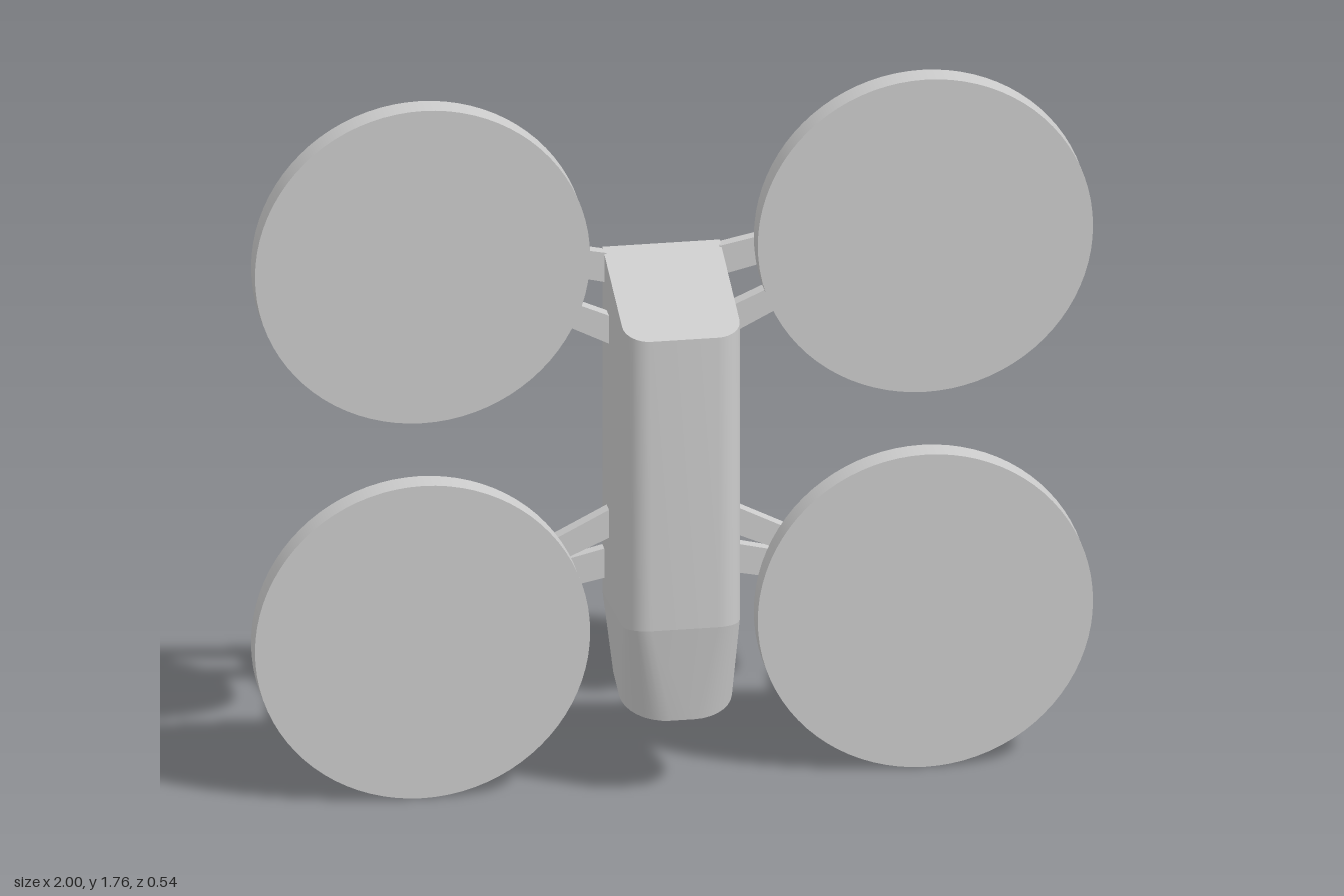
import * as THREE from 'three';
import { toCreasedNormals } from 'three/addons/utils/BufferGeometryUtils.js';

const material = new THREE.MeshStandardMaterial({ color: 0xcccccc });

function addMesh(parent, name, geometry, x = 0, y = 0, z = 0) {
  const mesh = new THREE.Mesh(geometry, material);
  mesh.name = name;
  mesh.position.set(x, y, z);
  parent.add(mesh);
  return mesh;
}

// Rounded rectangle ring lying on a plane whose height runs from yFront to yBack
function section({ halfWidth: w, front, back, frontRadius: rf, backRadius: rb, yFront, yBack }) {
  const corners = [
    [w - rf, front - rf, rf], [-w + rf, front - rf, rf],
    [-w + rb, back + rb, rb], [w - rb, back + rb, rb],
  ];
  const ring = [];
  corners.forEach(([cx, cz, r], c) => {
    for (let i = 0; i <= 8; i++) {
      const a = (c + i / 8) * Math.PI / 2;
      const z = cz + r * Math.sin(a);
      const y = THREE.MathUtils.mapLinear(z, front, back, yFront, yBack);
      ring.push(new THREE.Vector3(cx + r * Math.cos(a), y, z));
    }
  });
  return ring;
}

// Skin between two rings, with flat end caps
function loft(lower, upper) {
  const centre = ring => ring.reduce((s, p) => s.add(p), new THREE.Vector3()).divideScalar(ring.length);
  const cl = centre(lower), cu = centre(upper);
  const points = [];
  lower.forEach((l, i) => {
    const j = (i + 1) % lower.length;
    points.push(l, upper[i], upper[j], l, upper[j], lower[j]);
    points.push(cu, upper[j], upper[i], cl, l, lower[j]);
  });
  return toCreasedNormals(new THREE.BufferGeometry().setFromPoints(points), 0.5);
}

// Flat bar between two vertical edges [x, yLow, yHigh]
function bar([x1, a1, b1], [x2, a2, b2], depth) {
  const shape = new THREE.Shape([
    new THREE.Vector2(x1, a1), new THREE.Vector2(x2, a2),
    new THREE.Vector2(x2, b2), new THREE.Vector2(x1, b1),
  ]);
  return new THREE.ExtrudeGeometry(shape, { depth, bevelEnabled: false });
}

const alongZ = (rFront, rBack, length, sides) =>
  new THREE.CylinderGeometry(rFront, rBack, length, sides).rotateX(Math.PI / 2);

function createRotor(side, inward, hubY) {
  const rotor = new THREE.Group();
  rotor.name = `${inward < 0 ? 'upper' : 'lower'}${side > 0 ? 'Left' : 'Right'}Rotor`;
  const x = side * 0.6;
  addMesh(rotor, 'rotorDisc', alongZ(0.4, 0.4, 0.06, 80), x, hubY, 0.08);
  addMesh(rotor, 'rotorShaft', alongZ(0.018, 0.018, 0.05, 20), x, hubY, 0.028);
  addMesh(rotor, 'motorBlock', new THREE.BoxGeometry(0.09, 0.09, 0.095), x, hubY, -0.0375);
  addMesh(rotor, 'motorCone', alongZ(0.06, 0.032, 0.185, 32), x, hubY, -0.1775);

  // Two struts reach from the body to the motor block
  const strut = (name, root, tip, z, depth) => {
    const edge = (ex, [a, b]) => [side * ex, hubY + inward * a, hubY + inward * b];
    addMesh(rotor, name, bar(edge(0.135, root), edge(0.575, tip), depth), 0, 0, z);
  };
  strut('rearStrut', [0.14, 0.065], [0.035, -0.025], -0.084, 0.028);
  strut('frontStrut', [0.27, 0.198], [0.045, 0.002], -0.02, 0.034);
  return rotor;
}

export function createModel() {
  const model = new THREE.Group();
  model.name = 'quadRotorDrone';

  // Body with a slanted roof and a tapered nose below
  const hull = { halfWidth: 0.14, front: 0.272, back: -0.083, frontRadius: 0.06, backRadius: 0.001 };
  const top = section({ ...hull, yFront: 1.205, yBack: 1.303 });
  const seam = section({ ...hull, yFront: 0.463, yBack: 0.42 });
  const tip = section({
    halfWidth: 0.134, front: 0.235, back: -0.055,
    frontRadius: 0.105, backRadius: 0.095, yFront: 0.215, yBack: 0.29,
  });
  addMesh(model, 'body', loft(seam, top));
  addMesh(model, 'nose', loft(tip, seam));

  // Shallow camera dome on the slanted underside
  const R = 0.085;
  const dome = new THREE.SphereGeometry(R, 32, 12, 0, Math.PI * 2, 0, 0.9).translate(0, -0.055, 0);
  const lens = addMesh(model, 'cameraDome', dome, 0, 0.252, 0.09);
  lens.rotation.x = Math.PI + Math.atan2(0.075, 0.29);

  for (const side of [1, -1]) {
    model.add(createRotor(side, -1, 1.363));
    model.add(createRotor(side, 1, 0.402));
  }
  return model;
}
